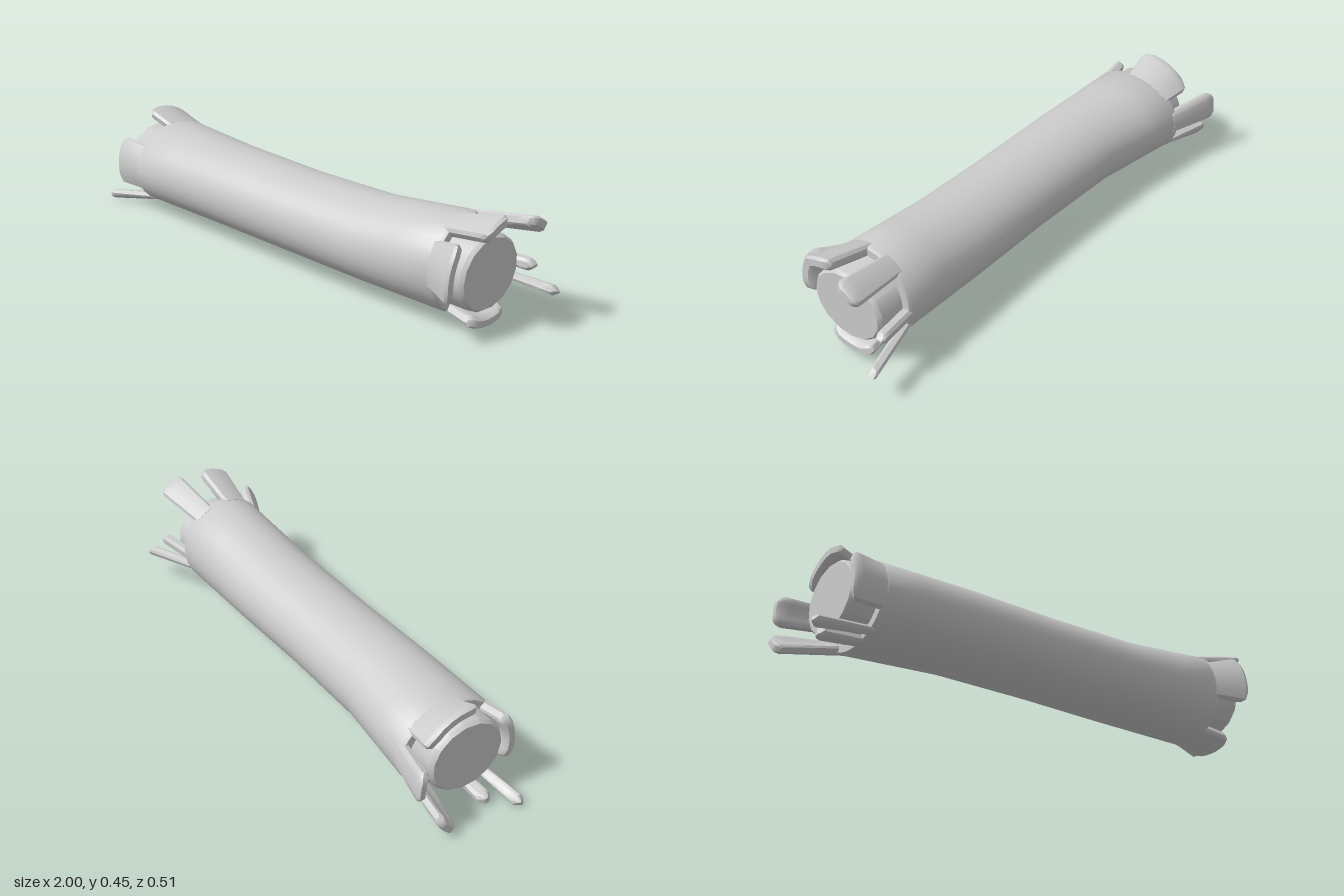
import * as THREE from 'three';
import { mergeVertices, toCreasedNormals } from 'three/addons/utils/BufferGeometryUtils.js';

const lerp = THREE.MathUtils.lerp;

// Oval sections of the bark along the log: x, centre y, centre z, half height, half depth
const SECTIONS = [
  [-0.765, 0.198, 0.0, 0.163, 0.207],
  [-0.38, 0.204, 0.027, 0.156, 0.182],
  [0, 0.203, 0.032, 0.153, 0.177],
  [0.37, 0.207, 0.03, 0.158, 0.18],
  [0.765, 0.232, 0.025, 0.182, 0.181],
];

function sectionAt(x) {
  const last = SECTIONS.length - 1;
  const cx = THREE.MathUtils.clamp(x, SECTIONS[0][0], SECTIONS[last][0]);
  let i = 0;
  while (i < last - 1 && cx > SECTIONS[i + 1][0]) i++;
  const a = SECTIONS[i], b = SECTIONS[i + 1];
  const t = (cx - a[0]) / (b[0] - a[0]);
  return { cy: lerp(a[1], b[1], t), cz: lerp(a[2], b[2], t), ry: lerp(a[3], b[3], t), rz: lerp(a[4], b[4], t) };
}

function coreAt(x) {
  const t = (x + 0.87) / 1.74;
  return { cy: lerp(0.2, 0.228, t), cz: lerp(0.005, 0.035, t), ry: 0.137, rz: 0.155 };
}

// Turn a unit profile around the x axis, then fit it to oval sections
function turned(profile, sides, fit, crease) {
  const geo = new THREE.LatheGeometry(profile.map(([r, x]) => new THREE.Vector2(r, x)), sides);
  geo.rotateZ(-Math.PI / 2);
  const p = geo.attributes.position;
  for (let i = 0; i < p.count; i++) {
    const s = fit(p.getX(i));
    p.setY(i, s.cy + p.getY(i) * s.ry);
    p.setZ(i, s.cz + p.getZ(i) * s.rz);
  }
  return toCreasedNormals(geo, crease);
}

// Splayed strip of bark: a bent, chamfered slab from the sleeve's end to its tip.
// Angles are in degrees, from +z towards +y.
function stripGeometry(side, a0, a1, tipX, tipR, thick) {
  const N = 8;
  const geo = new THREE.BoxGeometry(1, 1, 1, N, 2, N);
  const p = geo.attributes.position;
  const end = sectionAt(side);
  const width = THREE.MathUtils.degToRad(a1 - a0) * tipR;
  const length = tipX - 0.735;
  const bevel = Math.min(0.012, width * 0.25);
  // Move the outermost rows close to the edges so that they form a bevel
  const spread = (v, size) => {
    const k = Math.round((v + 0.5) * N);
    if (k === 0 || k === N) return k / N;
    return lerp(bevel / size, 1 - bevel / size, (k - 1) / (N - 2));
  };
  for (let i = 0; i < p.count; i++) {
    const u = p.getX(i), w = p.getZ(i);
    let t = spread(u, length);
    const s = spread(w, width);
    const onSide = Math.abs(w) > 0.49, onTip = u > 0.49;
    // Clipped corners at the tip
    const edge = Math.min(s, 1 - s) * width;
    const cut = Math.max(0, 0.02 - edge);
    t -= Math.max(0, t - 0.5) * 2 * cut / length;
    const deg = side > 0 ? lerp(a1, a0, s) : lerp(a0, a1, s);
    const a = THREE.MathUtils.degToRad(deg);
    const c = Math.cos(a), q = Math.sin(a);
    const baseR = 0.985 / Math.hypot(c / end.rz, q / end.ry);
    const outer = lerp(baseR, tipR, t);
    const taper = (onSide ? 0.55 : 1) * (onTip ? 0.6 : 1);
    const r = outer - thick / 2 + p.getY(i) * thick * taper;
    p.setXYZ(i, side * (0.735 + length * t), end.cy + q * r, end.cz + c * r);
  }
  geo.deleteAttribute('normal');
  geo.deleteAttribute('uv');
  return toCreasedNormals(mergeVertices(geo), 0.7);
}

// End, start angle, end angle, tip distance along x, tip radius, thickness
const STRIPS = [
  // left end
  [1, -14, 42, 0.868, 0.236, 0.045],
  [1, 54, 88, 0.945, 0.232, 0.045],
  [1, 107, 136, 0.985, 0.226, 0.04],
  [1, 180, 194, 0.92, 0.2, 0.04],
  [1, 202, 211, 1.0, 0.255, 0.035],
  [1, 243, 303, 0.875, 0.205, 0.04],
  // right end
  [-1, -24, 35, 0.88, 0.205, 0.04],
  [-1, 77, 148, 0.868, 0.208, 0.04],
  [-1, 160, 187, 0.945, 0.26, 0.035],
  [-1, 207, 234, 0.985, 0.235, 0.035],
  [-1, 278, 295, 0.93, 0.19, 0.035],
  [-1, 304, 315, 1.0, 0.24, 0.03],
];

export function createModel() {
  const group = new THREE.Group();
  const material = new THREE.MeshStandardMaterial({ color: 0xcccccc });
  const add = (name, geometry) => {
    const mesh = new THREE.Mesh(geometry, material);
    mesh.name = name;
    group.add(mesh);
  };

  // Wooden core with chamfered ends
  add('core', turned(
    [[0, -0.865], [0.93, -0.865], [1, -0.85], [1, 0.86], [0.93, 0.875], [0, 0.875]],
    15, coreAt, 0.6));

  // Bark sleeve with rounded lips
  add('barkSleeve', turned(
    [[0.8, -0.66], [0.8, -0.765], [0.96, -0.765], [1, -0.752],
      [1, -0.6], [1, -0.38], [1, -0.19], [1, 0], [1, 0.19], [1, 0.37], [1, 0.58],
      [1, 0.752], [0.96, 0.765], [0.8, 0.765], [0.8, 0.66]],
    32, sectionAt, 0.6));

  // Torn bark strips around both ends
  STRIPS.forEach(([side, ...rest]) =>
    add(side > 0 ? 'leftBarkStrip' : 'rightBarkStrip', stripGeometry(side, ...rest)));

  return group;
}
